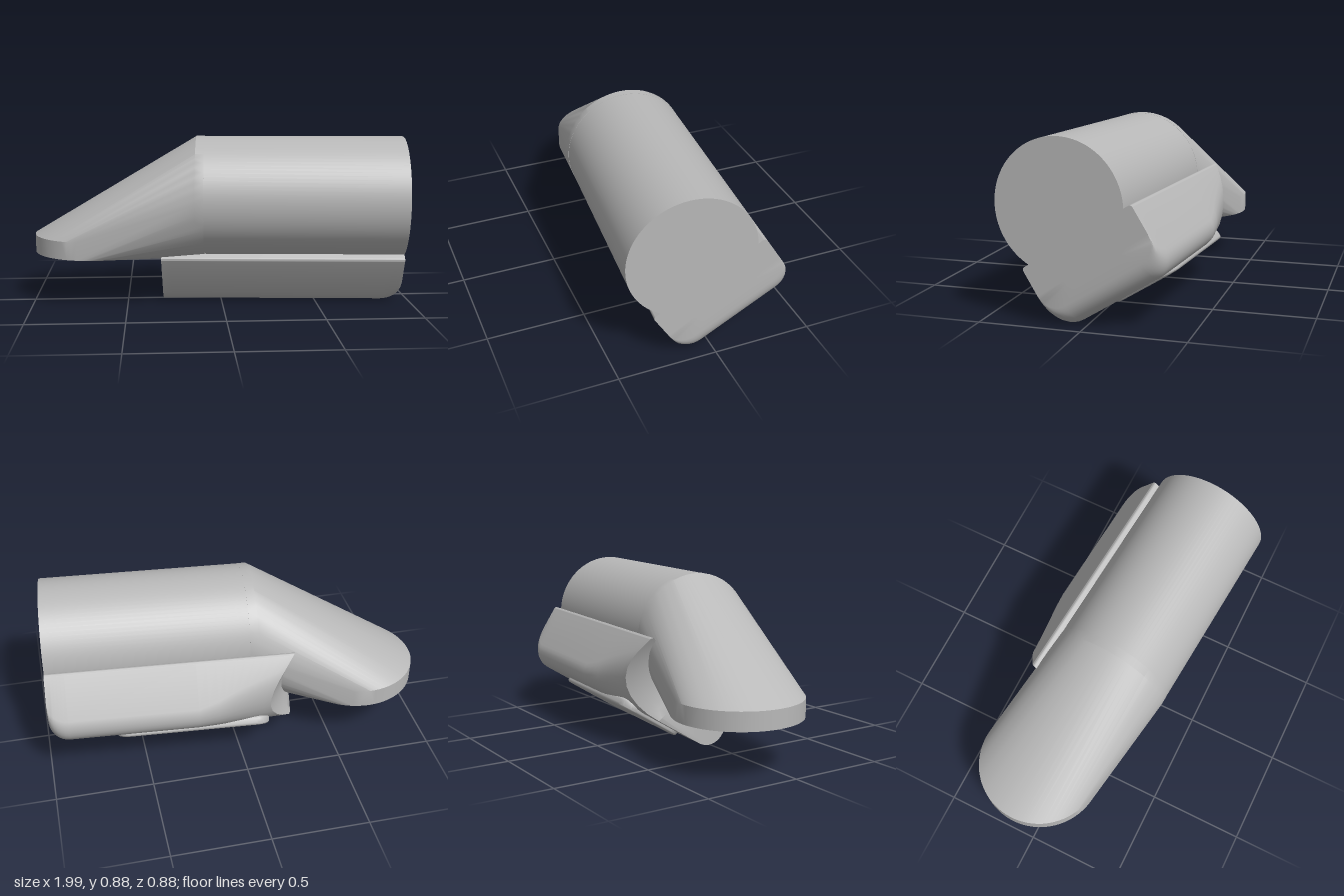
import * as THREE from 'three';
import { toCreasedNormals } from 'three/addons/utils/BufferGeometryUtils.js';
import { ConvexGeometry } from 'three/addons/geometries/ConvexGeometry.js';

const HALF = 0.32;      // barrel radius and half width of the base
const END = 0.957;      // flat end of barrel and base
const START = -0.31;    // other end of the base
const TURN = 0.078;     // barrel axis turned slightly in plan
const CENTER = new THREE.Vector3(0, 0.56, 0.043);

// Cross-section of the base: tight rims on top, large rounds below
function section(depth, farRadius) {
  const pts = [];
  const arc = (sx, sy, r, from) => {
    const edge = sy > 0 ? -0.157 : -depth;
    for (let i = 0; i <= 8; i++) {
      const a = from + (i / 8) * Math.PI / 2;
      pts.push([sx * (HALF - r) + r * Math.cos(a), edge - sy * r + r * Math.sin(a)]);
    }
  };
  arc(1, 1, 0.015, 0);
  arc(-1, 1, 0.015, Math.PI / 2);
  arc(-1, -1, 0.1, Math.PI);
  arc(1, -1, farRadius, Math.PI * 1.5);
  return pts;
}

function baseGeometry() {
  // Stations: [x, scale]; scaled rings close the two ends
  const stations = [];
  for (const s of [0.001, 0.25, 0.5, 0.75, 0.9]) stations.push([START, s]);
  for (let i = 0; i <= 10; i++) stations.push([START + i * 0.051, 1]);
  for (let i = 0; i <= 8; i++) stations.push([END - 0.1 + 0.1 * Math.sin((i / 8) * Math.PI / 2), 1]);
  for (const s of [0.5, 0.001]) stations.push([END, s]);

  const pos = [], index = [];
  let n = 0;
  for (const [x, s] of stations) {
    const t = Math.max(0, (x - (END - 0.1)) / 0.1);
    const depth = 0.405 + 0.1 * Math.sqrt(Math.max(0, 1 - t * t));
    const ring = section(depth, 0.1 + Math.max(0, 0.2 - x) * 0.32);
    n = ring.length;
    for (const [e0, y0] of ring) {
      const e = e0 * s, y = -0.3 + (y0 + 0.3) * s;
      // The far lower corner is swept back, fading out along the base
      const corner = Math.max(0, (e - 0.05) / 0.27) * Math.max(0, (-y - 0.157) / 0.348);
      const fade = THREE.MathUtils.clamp((0.1 - x) / 0.41, 0, 1);
      pos.push(x + 0.24 * corner * fade, y, -e);
    }
  }
  for (let k = 0; k < stations.length - 1; k++) {
    for (let i = 0; i < n; i++) {
      const a = k * n + i, b = k * n + (i + 1) % n;
      index.push(a, b, a + n, b, b + n, a + n);
    }
  }
  const g = new THREE.BufferGeometry();
  g.setAttribute('position', new THREE.Float32BufferAttribute(pos, 3));
  g.setIndex(index);
  return toCreasedNormals(g, 0.6);
}

// Hull of an upright disc at the elbow and a flat disc at the foot
function spoutGeometry() {
  const pts = [];
  const axisY = new THREE.Vector3(0, 1, 0);
  for (let i = 0; i < 72; i++) {
    const a = (i / 72) * Math.PI * 2, c = Math.cos(a), s = Math.sin(a);
    for (const x of [-0.13, -0.085]) {
      pts.push(new THREE.Vector3(x, 0.321 * c, 0.321 * s).applyAxisAngle(axisY, -TURN).add(CENTER));
    }
    for (const y of [0.255, 0.35]) {
      pts.push(new THREE.Vector3(-0.675 + 0.325 * c, y, -0.1 + 0.325 * s));
    }
  }
  return toCreasedNormals(new ConvexGeometry(pts), 0.45);
}

// Rounded pad with a soft rim
function padGeometry() {
  const x0 = -0.165, x1 = 0.605, y0 = -0.185, y1 = 0.17, r = 0.06;
  const shape = new THREE.Shape();
  shape.absarc(x1 - r, y1 - r, r, 0, Math.PI / 2);
  shape.absarc(x0 + r, y1 - r, r, Math.PI / 2, Math.PI);
  shape.absarc(x0 + r, y0 + r, r, Math.PI, Math.PI * 1.5);
  shape.absarc(x1 - r, y0 + r, r, Math.PI * 1.5, Math.PI * 2);
  const g = new THREE.ExtrudeGeometry(shape, {
    depth: 0.02, bevelThickness: 0.015, bevelSize: 0.015, bevelSegments: 4, curveSegments: 8,
  });
  g.rotateX(Math.PI / 2);
  g.translate(0, -0.492, 0);
  return toCreasedNormals(g, 0.6);
}

export function createModel() {
  const grey = new THREE.MeshStandardMaterial({ color: 0xb8b8b8 });
  grey.name = 'plain grey';
  const part = (name, geometry, parent) => {
    const mesh = new THREE.Mesh(geometry, grey);
    mesh.name = name;
    parent.add(mesh);
    return mesh;
  };

  const model = new THREE.Group();
  model.name = 'angledPipe';

  // Everything along the barrel axis
  const body = new THREE.Group();
  body.name = 'body';
  body.position.copy(CENTER);
  body.rotation.y = -TURN;
  model.add(body);

  const barrel = new THREE.CylinderGeometry(HALF, HALF, END + 0.12, 96);
  barrel.rotateZ(-Math.PI / 2);
  barrel.translate((END - 0.12) / 2, 0, 0);
  part('barrel', barrel, body);

  // Tilted base block with its pad
  const base = new THREE.Group();
  base.name = 'base';
  base.rotation.x = 0.562;
  body.add(base);
  part('baseBlock', baseGeometry(), base);
  part('basePad', padGeometry(), base);

  part('spout', spoutGeometry(), model);
  return model;
}
